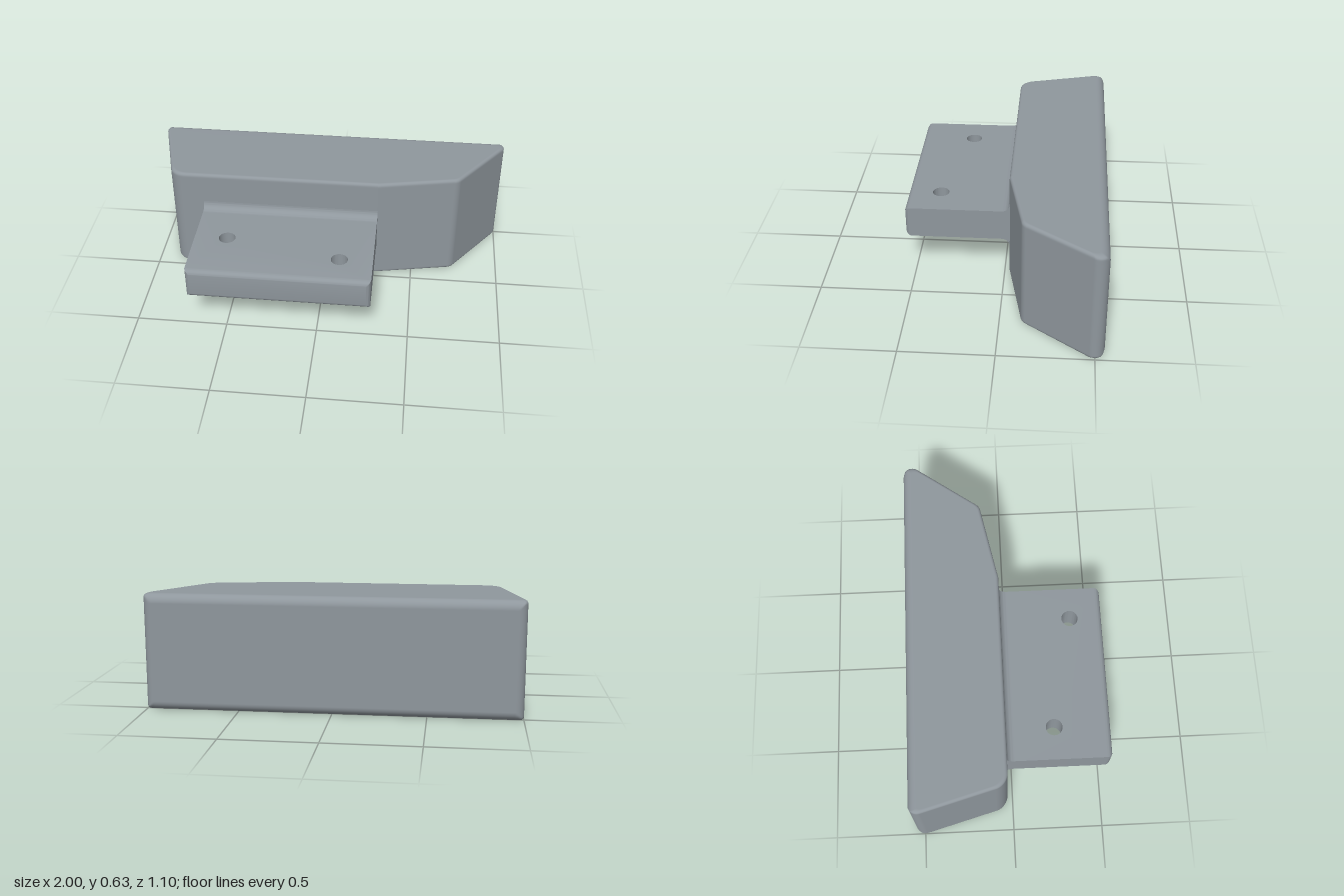
import * as THREE from 'three';
import { toCreasedNormals } from 'three/addons/utils/BufferGeometryUtils.js';

const material = new THREE.MeshStandardMaterial({ color: 0x8f979d });

// How far a surface is pulled in at distance h from a face rounded with radius r
const roundInset = (h, r) => (h < r ? r - Math.sqrt(r * r - (r - h) ** 2) : 0);

// Body footprint corners: x, z, corner radius
const BACK = -0.548, FRONT = -0.028;
const FOOTPRINT = [
  [-1.016, BACK, 0.05],
  [1.048, BACK, 0.05],
  [0.735, -0.117, 0.06],
  [0.29, FRONT, 0.004],
  [-0.873, FRONT, 0.09],
];
const BODY_HEIGHT = 0.63;
const EDGE_ROUND = 0.018;
const BACK_ROUND = 0.05;
const ARC_STEPS = 12;

// Footprint outline at distance h from the nearest cap, with rounded corners
function bodyRing(h) {
  const n = FOOTPRINT.length;
  const edges = FOOTPRINT.map(([x, z], i) => {
    const next = FOOTPRINT[(i + 1) % n];
    const dir = new THREE.Vector2(next[0] - x, next[1] - z).normalize();
    const normal = new THREE.Vector2(dir.y, -dir.x);
    const offset = normal.x * x + normal.y * z - roundInset(h, EDGE_ROUND);
    return { normal, offset };
  });
  // The back is rounded more, straight across the full width
  const backLimit = BACK + roundInset(h, BACK_ROUND);
  const ring = [];
  for (let i = 0; i < n; i++) {
    const a = edges[(i + n - 1) % n], b = edges[i], r = FOOTPRINT[i][2];
    // Arc centre: r inside both edges
    const det = a.normal.x * b.normal.y - a.normal.y * b.normal.x;
    const oa = a.offset - r, ob = b.offset - r;
    const cx = (oa * b.normal.y - ob * a.normal.y) / det;
    const cz = (a.normal.x * ob - b.normal.x * oa) / det;
    const start = a.normal.angle();
    const sweep = Math.atan2(det, a.normal.dot(b.normal));
    for (let k = 0; k <= ARC_STEPS; k++) {
      const t = start + (sweep * k) / ARC_STEPS;
      ring.push([cx + r * Math.cos(t), Math.max(cz + r * Math.sin(t), backLimit)]);
    }
  }
  return ring;
}

// Stack of rings from bottom to top, closed by flat caps
function bodyGeometry() {
  const heights = [];
  for (let k = 0; k <= 10; k++) heights.push(BACK_ROUND * (1 - Math.cos((k / 10) * Math.PI / 2)));
  const levels = [...heights, ...heights.map((h) => BODY_HEIGHT - h).reverse()];
  const positions = [], index = [];
  for (const y of levels) {
    for (const [x, z] of bodyRing(Math.min(y, BODY_HEIGHT - y))) positions.push(x, y, z);
  }
  const count = FOOTPRINT.length * (ARC_STEPS + 1);
  const bottom = positions.length / 3, top = bottom + 1;
  positions.push(0, 0, -0.29, 0, BODY_HEIGHT, -0.29);
  const last = (levels.length - 1) * count;
  for (let i = 0; i < count; i++) {
    const j = (i + 1) % count;
    for (let l = 0; l < levels.length - 1; l++) {
      const a = l * count + i, b = l * count + j;
      index.push(a, a + count, b, b, a + count, b + count);
    }
    index.push(bottom, i, j, top, last + j, last + i);
  }
  const geometry = new THREE.BufferGeometry();
  geometry.setAttribute('position', new THREE.Float32BufferAttribute(positions, 3));
  geometry.setIndex(index);
  geometry.computeVertexNormals();
  return geometry;
}

const TAB = { left: -0.7, right: 0.293, back: -0.06, front: 0.548, bottom: 0.226, top: 0.405, round: 0.03 };

// Plate with two through holes; its front edge is rounded by limiting z near the faces
function tabGeometry() {
  const { left, right, back, front, round } = TAB;
  const shape = new THREE.Shape();
  shape.moveTo(left, back);
  shape.lineTo(right, back);
  shape.lineTo(right, front - round);
  shape.absarc(right - round, front - round, round, 0, Math.PI / 2);
  shape.lineTo(left + round, front);
  shape.absarc(left + round, front - round, round, Math.PI / 2, Math.PI);
  shape.closePath();
  for (const [x, z] of [[-0.52, 0.24], [0.112, 0.367]]) {
    const hole = new THREE.Path();
    hole.absarc(x, z, 0.046, 0, Math.PI * 2, true);
    shape.holes.push(hole);
  }
  const depth = TAB.top - TAB.bottom, steps = 21;
  const geometry = new THREE.ExtrudeGeometry(shape, { depth, steps, bevelEnabled: false, curveSegments: 20 });
  const p = geometry.attributes.position;
  for (let i = 0; i < p.count; i++) {
    const k = Math.round((p.getZ(i) / depth) * steps);
    const h = round * (1 - Math.cos((Math.min(k, steps - k) / 10) * Math.PI / 2));
    p.setY(i, Math.min(p.getY(i), front - roundInset(h, round)));
    p.setZ(i, k <= 10 ? h : depth - h);
  }
  geometry.rotateX(Math.PI / 2);
  geometry.translate(0, TAB.top, 0);
  return toCreasedNormals(geometry, 0.5);
}

// Concave strip between the body front and one face of the tab (side: 1 above, -1 below)
function filletGeometry(side) {
  const r = 0.045, sink = 0.015;
  const shape = new THREE.Shape();
  shape.moveTo(-sink, -sink);
  shape.lineTo(r, -sink);
  shape.lineTo(r, 0);
  shape.absarc(r, r, r, -Math.PI / 2, -Math.PI, true);
  shape.lineTo(-sink, r);
  shape.closePath();
  const width = TAB.right - TAB.left;
  const geometry = new THREE.ExtrudeGeometry(shape, { depth: width, bevelEnabled: false, curveSegments: 12 });
  // Profile x runs forward, profile y runs away from the tab
  geometry.translate(0, 0, -width / 2);
  geometry.rotateY(-Math.PI / 2);
  if (side < 0) geometry.rotateZ(Math.PI);
  geometry.translate((TAB.left + TAB.right) / 2, side > 0 ? TAB.top : TAB.bottom, FRONT);
  return toCreasedNormals(geometry, 0.5);
}

export function createModel() {
  const model = new THREE.Group();
  model.name = 'bracketBlock';
  const add = (name, geometry) => {
    const mesh = new THREE.Mesh(geometry, material);
    mesh.name = name;
    model.add(mesh);
  };
  add('body', bodyGeometry());
  add('mountingTab', tabGeometry());
  add('upperRootFillet', filletGeometry(1));
  add('lowerRootFillet', filletGeometry(-1));
  return model;
}
